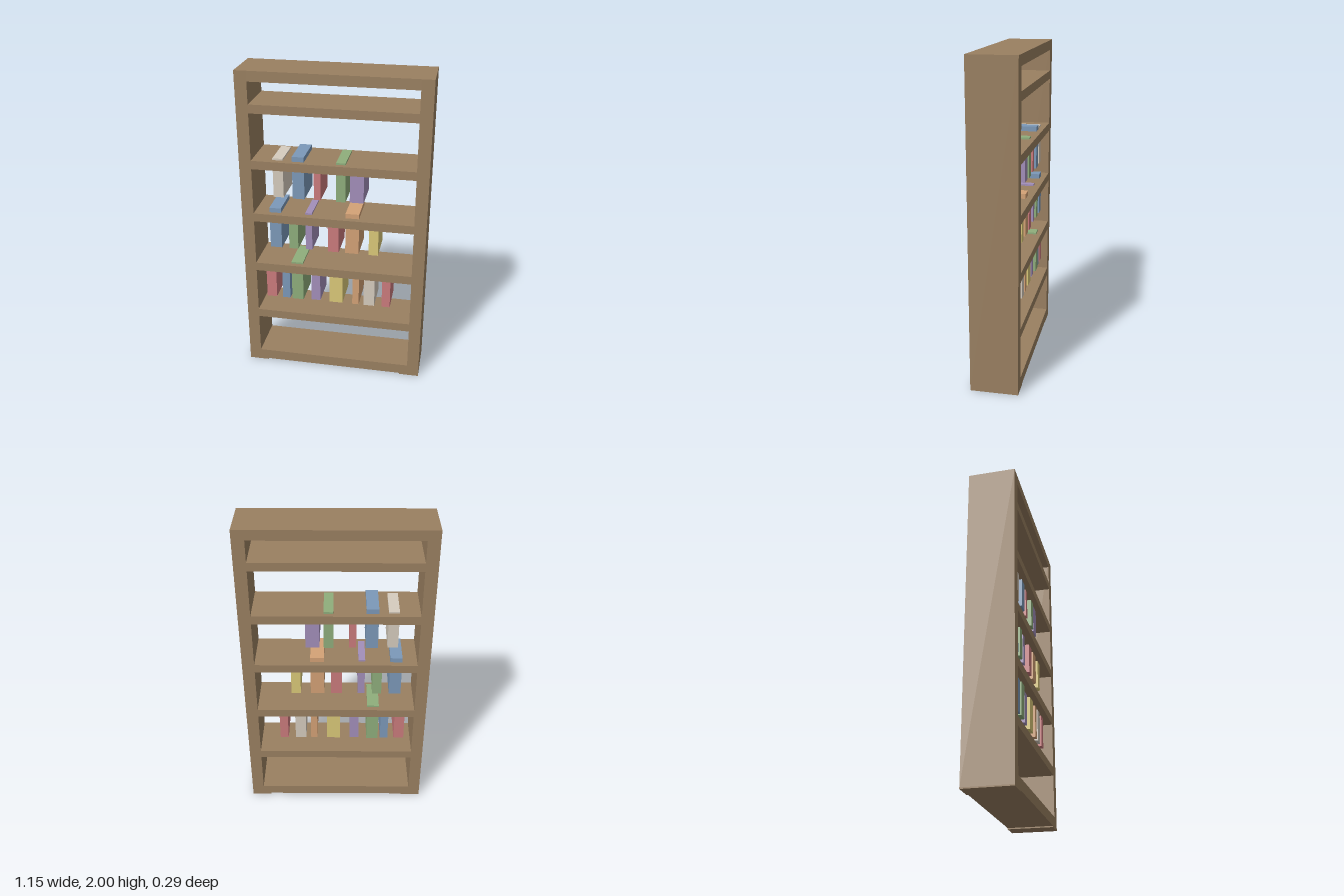
import * as THREE from 'three';

const COLORS = {
  wood: 0x9a8061, red: 0xcb7b7d, blue: 0x7c99b9, green: 0x8fae7c,
  purple: 0xa38fba, yellow: 0xdbc979, orange: 0xd4a276, cream: 0xd6ccbe,
};
const materials = {};
for (const key in COLORS) materials[key] = new THREE.MeshStandardMaterial({ color: COLORS[key] });

// Box given by its x and y limits and its depth, centred on z = 0
function addBox(parent, name, color, x0, x1, y0, y1, depth) {
  const mesh = new THREE.Mesh(new THREE.BoxGeometry(x1 - x0, y1 - y0, depth), materials[color]);
  mesh.position.set((x0 + x1) / 2, (y0 + y1) / 2, 0);
  mesh.name = name;
  parent.add(mesh);
}

// Book rows: bottom height, then [color, x0, x1, top, depth]
const BOOK_ROWS = [
  { bottom: 0.49, books: [
    ['red', -0.445, -0.38, 0.73, 0.22], ['blue', -0.34, -0.29, 0.715, 0.22],
    ['green', -0.275, -0.2, 0.763, 0.23], ['purple', -0.148, -0.09, 0.685, 0.21],
    ['yellow', -0.027, 0.058, 0.74, 0.22], ['orange', 0.122, 0.164, 0.715, 0.22],
    ['cream', 0.196, 0.265, 0.73, 0.22], ['red', 0.313, 0.366, 0.72, 0.22]] },
  { bottom: 0.86, books: [
    ['blue', -0.408, -0.334, 1.132, 0.22], ['green', -0.286, -0.228, 1.08, 0.22],
    ['purple', -0.18, -0.138, 1.113, 0.21], ['red', -0.037, 0.032, 1.08, 0.22],
    ['orange', 0.074, 0.159, 1.132, 0.22], ['yellow', 0.222, 0.281, 1.08, 0.22]] },
  { bottom: 1.21, books: [
    ['cream', -0.376, -0.312, 1.463, 0.22], ['blue', -0.254, -0.18, 1.483, 0.23],
    ['red', -0.122, -0.08, 1.42, 0.22], ['green', 0.016, 0.074, 1.463, 0.23],
    ['purple', 0.1, 0.185, 1.43, 0.22]] },
];

export function createModel() {
  const model = new THREE.Group();
  model.name = 'bookcase';
  const W = 0.575, INNER = 0.5, D = 0.294;

  // Frame: side panels and shallow feet
  const frame = new THREE.Group();
  frame.name = 'frame';
  model.add(frame);
  for (const [side, s] of [['left', 1], ['right', -1]]) {
    const span = (a, b) => (s > 0 ? [a, b] : [-b, -a]);
    addBox(frame, side + 'Panel', 'wood', ...span(INNER, W), 0.008, 2, D);
    addBox(frame, side + 'Foot', 'wood', ...span(0.45, W), 0, 0.008, D);
  }

  // Horizontal boards, bottom to top
  const boards = [
    ['base', 0.008, 0.075], ['shelf1', 0.345, 0.4], ['shelf2', 0.697, 0.752],
    ['shelf3', 1.048, 1.102], ['shelf4', 1.398, 1.452], ['shelf5', 1.748, 1.802], ['topBoard', 1.937, 2],
  ];
  for (const [name, y0, y1] of boards) addBox(frame, name, 'wood', -INNER, INNER, y0, y1, D);

  // Books, with the tallest ones reaching through the shelf above
  BOOK_ROWS.forEach((row, i) => {
    const group = new THREE.Group();
    group.name = 'bookRow' + (i + 1);
    row.books.forEach(([color, x0, x1, top, depth], j) =>
      addBox(group, `${color}Book${j + 1}`, color, x0, x1, row.bottom, top, depth));
    model.add(group);
  });
  return model;
}
